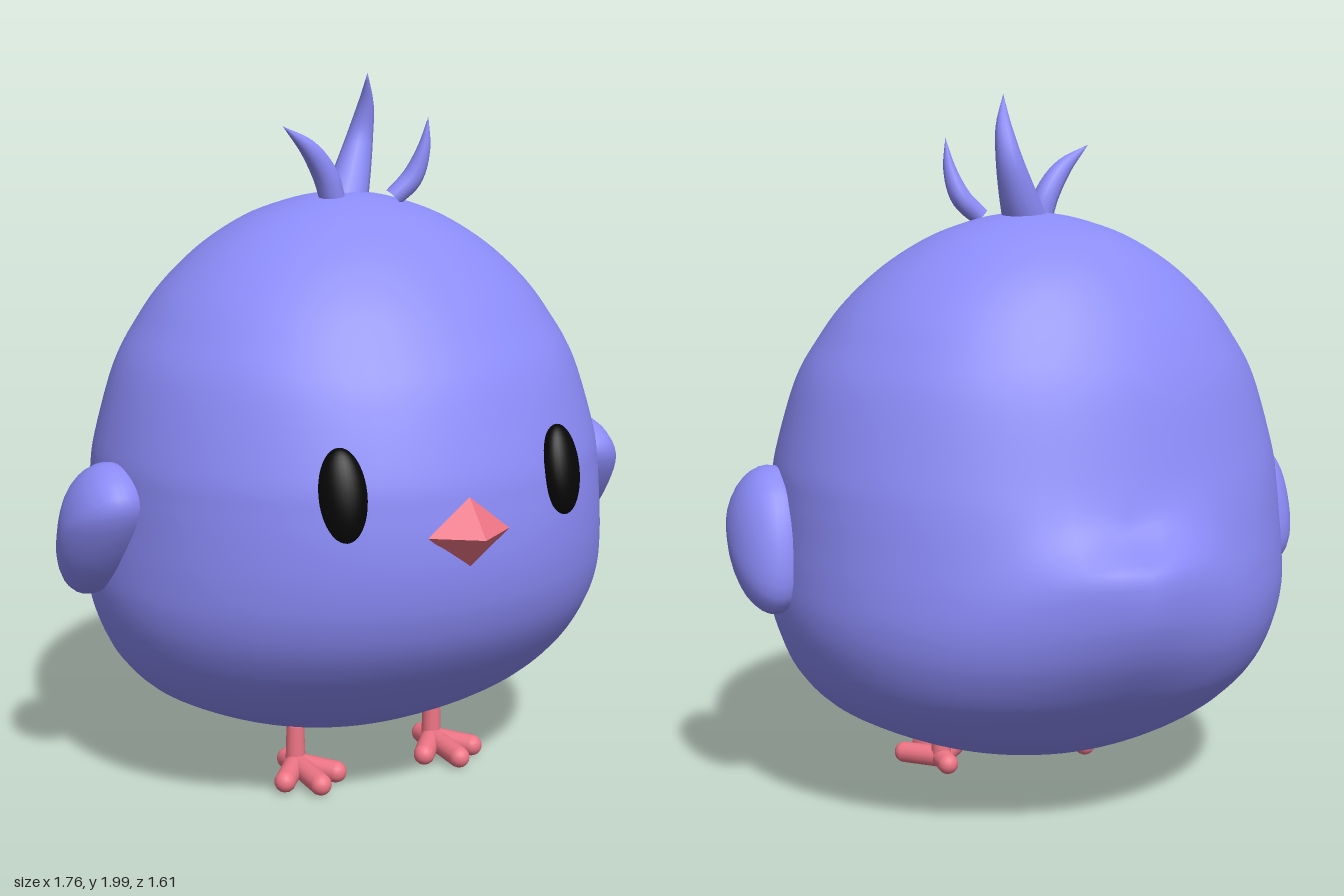
import * as THREE from 'three';
import { mergeVertices } from 'three/addons/utils/BufferGeometryUtils.js';

const V = (x, y, z) => new THREE.Vector3(x, y, z);
const mat = (color) => new THREE.MeshStandardMaterial({ color });
const blue = mat(0x8c8cfa), pink = mat(0xee7585), black = mat(0x060606);
const spline = (pts, closed = false) => new THREE.CatmullRomCurve3(pts, closed, 'catmullrom', 0.5);

function add(parent, name, geometry, material) {
  const mesh = new THREE.Mesh(geometry, material);
  mesh.name = name;
  parent.add(mesh);
  return mesh;
}

// Smooth skin over closed rings; point(u, v) gives the corner v of ring u
function loft(rows, cols, point) {
  const pos = [], index = [];
  for (let i = 0; i <= rows; i++) {
    for (let j = 0; j < cols; j++) {
      pos.push(...point(i / rows, j / cols).toArray());
      if (i === rows) continue;
      const k = (j + 1) % cols, a = i * cols + j, b = i * cols + k;
      index.push(a, b, b + cols, a, b + cols, a + cols);
    }
  }
  const g = new THREE.BufferGeometry();
  g.setAttribute('position', new THREE.Float32BufferAttribute(pos, 3));
  g.setIndex(index);
  const merged = mergeVertices(g, 1e-5);
  merged.computeVertexNormals();
  return merged;
}

// Tail: a bump with a sharp lip above and a long slope below, fading to the sides
function tailSwell(x, y) {
  const w = Math.abs(x), dy = y - (0.77 - 1.2 * x * x);
  const spread = dy > 0 ? 0.05 + 0.35 * w : 0.33;
  return 0.13 * Math.exp(-Math.pow(w / 0.25, 1.5) - (dy / spread) ** 2);
}

// Egg-shaped body
function bodyGeometry() {
  // height, half width, front depth, back depth
  const rows = [
    [0.12, 0, 0, 0], [0.128, 0.16, 0.11, 0.15], [0.15, 0.27, 0.2, 0.26], [0.185, 0.385, 0.285, 0.36],
    [0.24, 0.51, 0.39, 0.46], [0.3, 0.61, 0.475, 0.53], [0.39, 0.69, 0.57, 0.61], [0.5, 0.738, 0.655, 0.665],
    [0.6, 0.758, 0.7, 0.685], [0.7, 0.757, 0.72, 0.683], [0.8, 0.75, 0.723, 0.668], [0.9, 0.743, 0.713, 0.648],
    [1.0, 0.73, 0.693, 0.62], [1.2, 0.672, 0.62, 0.564], [1.32, 0.605, 0.545, 0.515], [1.42, 0.53, 0.47, 0.46],
    [1.52, 0.42, 0.37, 0.385], [1.6, 0.29, 0.255, 0.285], [1.645, 0.17, 0.15, 0.17],
    [1.665, 0.08, 0.07, 0.08], [1.67, 0, 0, 0],
  ];
  const main = spline(rows.map((r) => V(r[1], r[0], r[2])));
  const rear = spline(rows.map((r) => V(r[3], 0, 0)));
  return loft(100, 60, (u, v) => {
    const a = v * Math.PI * 2, p = main.getPoint(u), c = Math.cos(a);
    const x = p.x * Math.sin(a);
    if (c >= 0) return V(x, p.y, p.z * c);
    return V(x, p.y, rear.getPoint(u).x * c - tailSwell(x, p.y) * Math.min(1, -c * 2));
  });
}

// Curved, tapering head feather
function tuftGeometry(points, radii) {
  const path = spline(points.map((p) => V(...p)));
  const taper = spline(radii.map((r) => V(r, 0, 0)));
  return loft(16, 12, (u, v) => {
    const t = path.getTangent(u), a = v * Math.PI * 2;
    const side = t.clone().cross(V(0, 0, 1)).normalize();
    const front = side.clone().cross(t);
    const r = Math.max(0, taper.getPoint(u).x);
    return path.getPoint(u).addScaledVector(side, r * Math.sin(a)).addScaledVector(front, r * Math.cos(a));
  });
}

// Lens-shaped wing with a drop outline, s = +1 left, -1 right
function wingGeometry(s) {
  const cy = 0.79, cz = 0.055;
  const outline = spline([
    [0.06, 0.975], [0.165, 0.955], [0.222, 0.88], [0.165, 0.755], [0.06, 0.63],
    [-0.05, 0.583], [-0.118, 0.65], [-0.105, 0.8], [-0.045, 0.925],
  ].map(([z, y]) => V(0, y - cy, z - cz)), true);
  return loft(18, 32, (u, v) => {
    const phi = (u - 0.5) * Math.PI, p = outline.getPoint(v).multiplyScalar(Math.cos(phi));
    return V(s * (0.762 - 0.07 * p.y) + 0.118 * Math.sin(phi), cy + p.y, cz + p.z);
  });
}

function capsule(from, to, radius) {
  const d = to.clone().sub(from), g = new THREE.CapsuleGeometry(radius, d.length(), 6, 14);
  g.applyQuaternion(new THREE.Quaternion().setFromUnitVectors(V(0, 1, 0), d.normalize()));
  const mid = from.clone().add(to).multiplyScalar(0.5);
  return g.translate(mid.x, mid.y, mid.z);
}

export function createModel() {
  const model = new THREE.Group();
  model.name = 'chick';
  add(model, 'body', bodyGeometry(), blue);

  // Head feathers
  add(model, 'middleTuft', tuftGeometry(
    [[0.015, 1.64, -0.02], [0.055, 1.73, -0.05], [0.085, 1.82, -0.065], [0.093, 1.91, -0.045], [0.075, 2, 0]],
    [0.065, 0.052, 0.038, 0.023, 0]), blue);
  add(model, 'rightTuft', tuftGeometry(
    [[-0.06, 1.65, 0.05], [-0.085, 1.72, 0.055], [-0.14, 1.795, 0.065], [-0.225, 1.86, 0.075]],
    [0.036, 0.036, 0.026, 0]), blue);
  add(model, 'leftTuft', tuftGeometry(
    [[0.11, 1.655, 0.09], [0.165, 1.71, 0.1], [0.193, 1.79, 0.115], [0.202, 1.88, 0.125]],
    [0.028, 0.03, 0.019, 0]), blue);

  // Diamond beak
  const beak = add(model, 'beak', new THREE.OctahedronGeometry(1), pink);
  beak.scale.set(0.122, 0.096, 0.085);
  beak.position.set(0, 0.842, 0.715);

  for (const s of [1, -1]) {
    const side = s > 0 ? 'left' : 'right';
    add(model, side + 'Wing', wingGeometry(s), blue);

    // Eye lying on the curve of the face
    const eye = add(model, side + 'Eye', new THREE.SphereGeometry(1, 28, 20), black);
    eye.scale.set(0.062, 0.122, 0.045);
    eye.position.set(s * 0.328, 0.962, 0.64);
    eye.rotation.set(-0.22, s * 0.45, 0);

    // Leg and toes
    const foot = new THREE.Group();
    foot.name = side + 'Foot';
    foot.position.set(s * 0.225, 0, 0.135);
    model.add(foot);
    add(foot, 'leg', new THREE.CylinderGeometry(0.026, 0.03, 0.12, 14).translate(0, 0.1, 0), pink);
    for (const [name, x, z] of [['innerToe', -0.08 * s, 0.1], ['middleToe', 0, 0.165], ['outerToe', 0.08 * s, 0.1], ['backToe', 0, -0.055]]) {
      add(foot, name, capsule(V(0, 0.043, 0), V(x, 0.038, z), 0.031), pink);
    }
  }
  return model;
}
